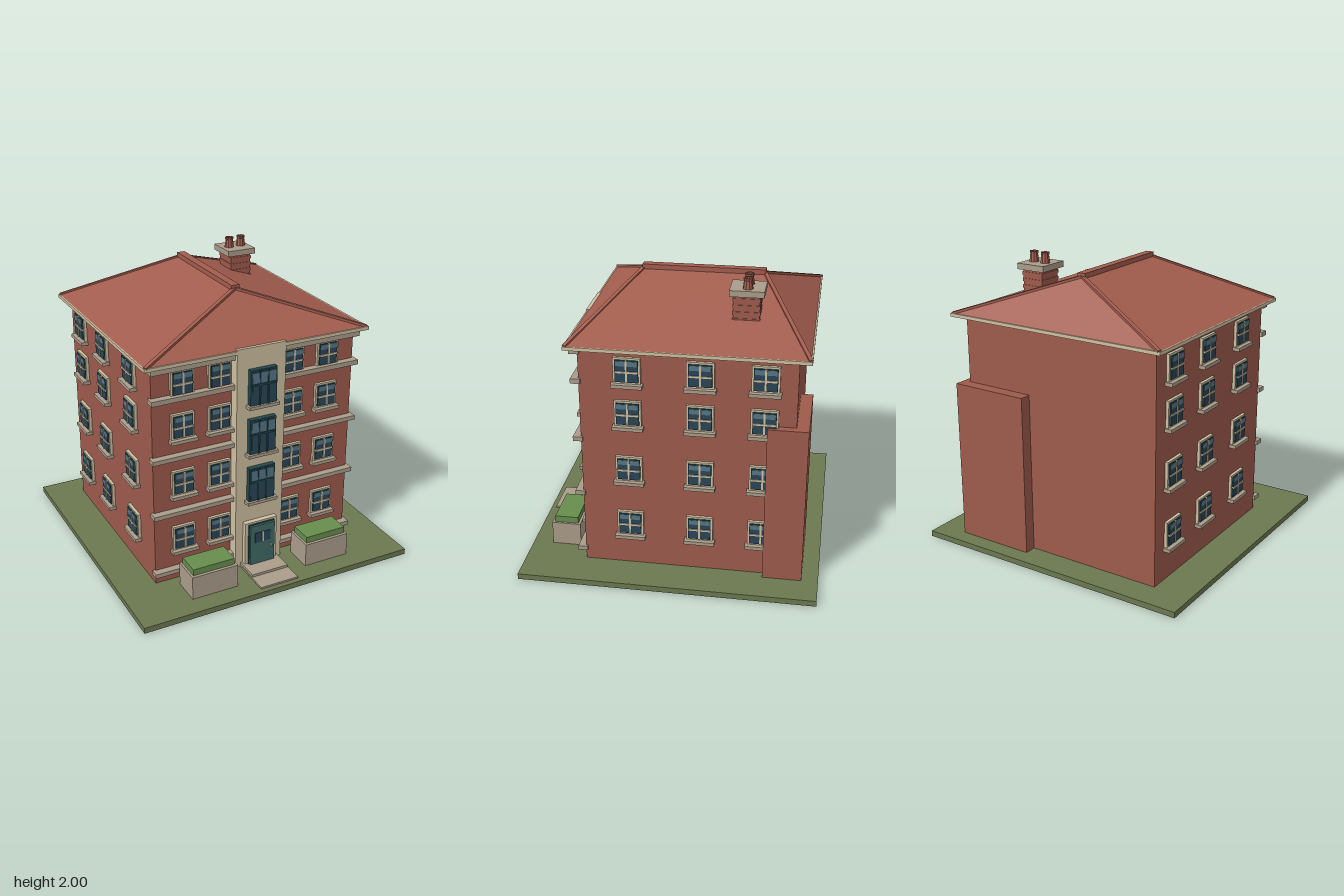
import * as THREE from 'three';

const mat = (name, color) => {
  const m = new THREE.MeshStandardMaterial({ color });
  m.name = name;
  return m;
};

export function createModel() {
  const M = {
    brick: mat('brick', 0x9e5b4c), roof: mat('roofTile', 0xa25d4e),
    cream: mat('creamRender', 0xcfc0a2), stone: mat('stone', 0xab9d8a),
    glass: mat('darkGlass', 0x2a4557), pale: mat('paleGlass', 0x557787),
    sash: mat('darkTealSash', 0x24484c), door: mat('tealDoor', 0x3f6b66),
    grass: mat('grass', 0x6b7850), hedge: mat('hedge', 0x678d4e),
  };
  const root = new THREE.Group();
  root.name = 'apartmentHouse';

  // box given by its min and max on each axis
  const box = (name, m, x0, x1, y0, y1, z0, z1, parent = root) => {
    const b = new THREE.Mesh(new THREE.BoxGeometry(x1 - x0, y1 - y0, z1 - z0), m);
    b.position.set((x0 + x1) / 2, (y0 + y1) / 2, (z0 + z1) / 2);
    b.name = name;
    parent.add(b);
    return b;
  };
  const group = (name, x, y, z, ry = 0) => {
    const g = new THREE.Group();
    g.name = name;
    g.position.set(x, y, z);
    g.rotation.y = ry;
    root.add(g);
    return g;
  };

  // ground and main walls
  box('lawn', M.grass, -0.99, 0.99, 0, 0.04, -0.99, 0.99);
  box('walls', M.brick, -0.73, 0.73, 0.04, 1.6, -0.8, 0.58);
  box('rearAnnex', M.brick, 0.23, 0.78, 0.04, 1.14, -0.88, -0.62);
  box('entranceBay', M.cream, -0.175, 0.175, 0.04, 1.63, 0.57, 0.655);

  // stone bands across the front, on both sides of the bay
  for (const [y0, y1] of [[0.11, 0.14], [0.545, 0.575], [0.945, 0.975], [1.352, 1.385], [1.555, 1.59]]) {
    for (const [x0, x1] of [[-0.748, -0.17], [0.17, 0.748]]) {
      box('stoneBand', M.stone, x0, x1, y0, y1, 0.566, 0.63);
    }
  }

  // sash window with sill; origin at the middle of the opening on the wall
  const sashWindow = (x, y, z, ry, w, h) => {
    const g = group('window', x, y, z, ry);
    const a = w / 2, b = h / 2, i = 0.013;
    box('windowFrame', M.cream, -a, a, -b, b, -0.01, 0.02, g);
    box('sash', M.sash, -a + i, a - i, -b + i, b - i, 0, 0.028, g);
    box('pane', M.glass, -a + i + 0.004, a - i - 0.004, -b + i, b - i - 0.004, 0.02, 0.03, g);
    box('upperPane', M.pale, -a + i + 0.006, a - i - 0.006, 0.035, b - i - 0.006, 0.027, 0.032, g);
    box('glazingBar', M.cream, -0.006, 0.006, -b + i, b - i, 0.02, 0.036, g);
    box('meetingRail', M.cream, -a + i, a - i, -0.011, 0.001, 0.02, 0.036, g);
    box('sill', M.stone, -a - 0.013, a + 0.013, -b - 0.024, -b, -0.01, 0.05, g);
  };
  const rows = [0.358, 0.768, 1.167, 1.463];
  for (const y of rows) {
    for (const x of [-0.525, -0.265, 0.265, 0.525]) sashWindow(x, y, 0.58, 0, 0.16, 0.172);
    for (const z of [0.265, -0.197, -0.6]) {
      sashWindow(0.73, y, z, Math.PI / 2, 0.175, 0.174);
      sashWindow(-0.73, y, z, -Math.PI / 2, 0.175, 0.174);
    }
  }

  // tall stair windows in the bay; origin at the bottom of the opening
  for (const y of [0.55, 0.9, 1.245]) {
    const g = group('stairWindow', 0, y, 0.655);
    box('casing', M.sash, -0.095, 0.095, 0, 0.243, -0.01, 0.035, g);
    box('pane', M.glass, -0.083, 0.083, 0.012, 0.231, 0.03, 0.038, g);
    box('transomPane', M.pale, -0.083, 0.083, 0.152, 0.224, 0.034, 0.04, g);
    for (const x of [-0.03, 0.03]) box('mullion', M.sash, x - 0.005, x + 0.005, 0, 0.243, 0.03, 0.045, g);
    box('transom', M.sash, -0.09, 0.09, 0.136, 0.148, 0.03, 0.045, g);
    box('sill', M.stone, -0.11, 0.11, -0.022, 0, -0.01, 0.052, g);
  }

  // entrance
  box('doorSurround', M.cream, -0.12, 0.12, 0.04, 0.385, 0.65, 0.69);
  box('doorFrame', M.sash, -0.097, 0.097, 0.06, 0.372, 0.68, 0.7);
  box('door', M.door, -0.092, 0.092, 0.06, 0.367, 0.69, 0.715);
  for (const s of [-1, 1]) {
    box('doorPane', M.glass, s * 0.033 - 0.026, s * 0.033 + 0.026, 0.238, 0.312, 0.71, 0.72);
  }
  box('doorPaneBar', M.cream, -0.006, 0.006, 0.238, 0.312, 0.712, 0.721);
  box('doorHandle', M.stone, 0.054, 0.068, 0.185, 0.2, 0.71, 0.735);
  box('doorStep', M.stone, -0.135, 0.135, 0.04, 0.07, 0.65, 0.825);
  box('path', M.stone, -0.14, 0.14, 0.04, 0.052, 0.65, 0.955);

  // planters
  for (const x of [-0.425, 0.425]) {
    box('planter', M.stone, x - 0.165, x + 0.165, 0.04, 0.205, 0.655, 0.853);
    box('planterHedge', M.hedge, x - 0.15, x + 0.15, 0.2, 0.25, 0.672, 0.833);
  }

  // eaves and hipped roof
  box('fascia', M.cream, -0.8, 0.8, 1.597, 1.62, -0.878, 0.655);
  box('soffit', M.roof, -0.785, 0.785, 1.594, 1.6, -0.863, 0.64);
  const v = (x, y, z) => new THREE.Vector3(x, y, z);
  const c = [v(-0.79, 1.62, 0.645), v(0.79, 1.62, 0.645), v(0.79, 1.62, -0.868), v(-0.79, 1.62, -0.868)];
  const f = v(0, 1.895, 0.285), r = v(0, 1.895, -0.515);
  const tris = [c[0], c[1], f, c[1], c[2], r, c[1], r, f, c[2], c[3], r, c[3], c[0], f, c[3], f, r];
  const roofGeo = new THREE.BufferGeometry().setFromPoints(tris);
  roofGeo.computeVertexNormals();
  const roof = new THREE.Mesh(roofGeo, M.roof);
  roof.name = 'hippedRoof';
  root.add(roof);
  box('ridgeCap', M.roof, -0.028, 0.028, 1.88, 1.918, -0.525, 0.295);
  c.forEach((p, i) => {
    const q = i < 2 ? f : r;
    const hip = new THREE.Mesh(new THREE.BoxGeometry(0.026, 0.016, p.distanceTo(q)), M.roof);
    hip.position.copy(p).lerp(q, 0.5);
    hip.lookAt(q);
    hip.name = 'hipCap';
    root.add(hip);
  });

  // chimney with stepped brick courses, cap and pots
  const n = 8, h = 0.175 / n;
  for (let i = 0; i < n; i++) {
    const d = i % 2 ? 0.004 : 0, y = 1.72 + i * h;
    box('chimneyCourse', M.brick, 0.308 + d, 0.468 - d, y, y + h, -0.53 + d, -0.355 - d);
  }
  box('chimneyCap', M.stone, 0.28, 0.49, 1.89, 1.93, -0.555, -0.335);
  const potProfile = [[0, 0], [0.033, 0], [0.026, 0.055], [0.029, 0.057], [0.029, 0.07], [0.02, 0.07], [0.02, 0.05], [0, 0.05]]
    .map(([x, y]) => new THREE.Vector2(x, y));
  const potGeo = new THREE.LatheGeometry(potProfile, 10).toNonIndexed();
  potGeo.computeVertexNormals();
  for (const x of [0.343, 0.433]) {
    const pot = new THREE.Mesh(potGeo, M.brick);
    pot.position.set(x, 1.93, -0.447);
    pot.name = 'chimneyPot';
    root.add(pot);
  }
  return root;
}
